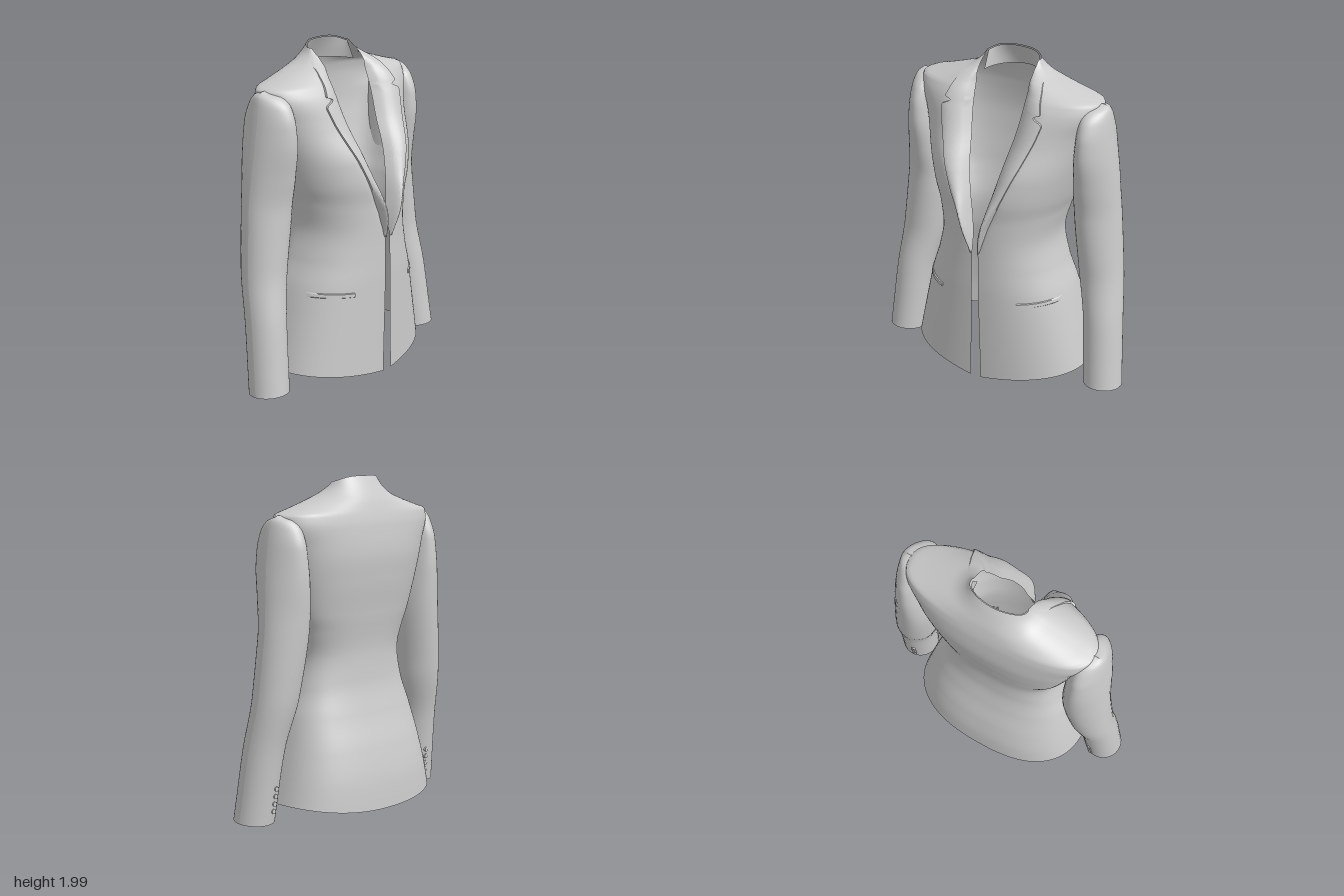
import * as THREE from 'three';
import { toCreasedNormals } from 'three/addons/utils/BufferGeometryUtils.js';

const material = new THREE.MeshStandardMaterial({ color: 0xcccccc, side: THREE.DoubleSide });
const { smoothstep, clamp } = THREE.MathUtils;

// Smooth monotone interpolation through [y, value] pairs
function curve(pts) {
  const slope = i => (pts[i + 1][1] - pts[i][1]) / (pts[i + 1][0] - pts[i][0]);
  const tangent = i => {
    if (i === 0) return slope(0);
    if (i === pts.length - 1) return slope(i - 1);
    const a = slope(i - 1), b = slope(i);
    return a * b <= 0 ? 0 : (2 * a * b) / (a + b);
  };
  return y => {
    if (y <= pts[0][0]) return pts[0][1];
    if (y >= pts[pts.length - 1][0]) return pts[pts.length - 1][1];
    let i = 0;
    while (y > pts[i + 1][0]) i++;
    const h = pts[i + 1][0] - pts[i][0], t = (y - pts[i][0]) / h, t2 = t * t, t3 = t2 * t;
    return (2 * t3 - 3 * t2 + 1) * pts[i][1] + (t3 - 2 * t2 + t) * h * tangent(i)
      + (3 * t2 - 2 * t3) * pts[i + 1][1] + (t3 - t2) * h * tangent(i + 1);
  };
}

function polyline(pts) {
  return y => {
    let i = 0;
    while (i < pts.length - 2 && y > pts[i + 1][0]) i++;
    const t = clamp((y - pts[i][0]) / (pts[i + 1][0] - pts[i][0]), 0, 1);
    return pts[i][1] + t * (pts[i + 1][1] - pts[i][1]);
  };
}

// Surface from point(s, t) -> [x, y, z]; side -1 mirrors it across x
function surface(name, cols, rows, point, side = 1, crease = 0) {
  const pos = [], index = [];
  for (let i = 0; i <= rows; i++) {
    for (let j = 0; j <= cols; j++) {
      const [x, y, z] = point(side > 0 ? j / cols : 1 - j / cols, i / rows);
      pos.push(x * side, y, z);
      if (i < rows && j < cols) {
        const a = i * (cols + 1) + j, c = a + cols + 1;
        index.push(a, a + 1, c + 1, a, c + 1, c);
      }
    }
  }
  let geo = new THREE.BufferGeometry();
  geo.setAttribute('position', new THREE.Float32BufferAttribute(pos, 3));
  geo.setIndex(index);
  geo.computeVertexNormals();
  if (crease) geo = toCreasedNormals(geo, crease);
  const mesh = new THREE.Mesh(geo, material);
  mesh.name = name;
  return mesh;
}

// Body measures by height: half width, back, side and front depth
const halfWidth = curve([[0, 0.6], [0.1, 0.578], [0.4, 0.51], [0.6, 0.46], [0.76, 0.405], [0.94, 0.37],
  [1.1, 0.4], [1.2, 0.435], [1.4, 0.49], [1.6, 0.545], [1.74, 0.595], [1.785, 0.59], [1.82, 0.48],
  [1.86, 0.35], [1.89, 0.275], [1.92, 0.235], [1.96, 0.2], [2, 0.178]]);
const backZ = curve([[0, -0.415], [0.2, -0.4], [0.4, -0.36], [0.6, -0.3], [0.8, -0.257], [0.95, -0.25],
  [1.2, -0.28], [1.4, -0.31], [1.55, -0.323], [1.71, -0.31], [1.84, -0.275], [1.95, -0.22], [2, -0.19]]);
const sideZ = curve([[0, -0.02], [0.6, -0.03], [0.95, -0.03], [1.2, -0.07], [1.7, -0.08], [1.92, -0.085], [2, -0.1]]);
const centreZ = curve([[0, 0.355], [0.6, 0.355], [0.87, 0.35], [1.07, 0.35], [1.2, 0.358], [1.34, 0.342],
  [1.55, 0.25], [1.735, 0.167], [1.8, 0.122], [1.86, 0.08], [1.92, 0.03], [2, -0.06]]);
const backPower = curve([[1.8, 2.5], [2, 2]]);
// Front opening edge, lapel outline with its notch, and how far the opening rolls inward
const openX = curve([[0, 0.035], [0.87, 0.02], [0.92, 0.021], [1.13, 0.053], [1.39, 0.11], [1.71, 0.164],
  [1.92, 0.176], [2, 0.172]]);
const lapelX = polyline([[0.87, 0.028], [1.05, 0.088], [1.2, 0.153], [1.44, 0.254], [1.58, 0.307],
  [1.675, 0.335], [1.69, 0.33], [1.715, 0.275], [1.722, 0.275], [1.735, 0.317], [1.84, 0.28], [1.89, 0.25], [1.95, 0.2]]);
const rollIn = curve([[0.87, 0], [1.07, 0.05], [1.3, 0.095], [1.4, 0.105], [1.7, 0.095], [1.8, 0.075],
  [1.88, 0.03], [1.95, 0]]);
const rollReach = curve([[0.87, 0.01], [1.2, 0.105], [1.5, 0.16], [1.7, 0.16], [1.84, 0.11], [1.95, 0.03]]);
const lapelBulge = curve([[0.87, 0], [1.07, 0.055], [1.25, 0.015], [1.4, 0.004], [1.7, 0]]);
// The collar's top edge dips from the nape towards the front
const collarDip = v => 0.03 * smoothstep(v, 1.85, 2);

function frontZ(x, y) {
  const r = Math.min(x / halfWidth(y), 1), side = sideZ(y);
  const z = side + (centreZ(y) - side) * Math.pow(1 - Math.pow(r, 2.3), 1 / 2.3);
  const k = clamp((openX(y) + rollReach(y) - x) / rollReach(y), 0, 1);
  return z - rollIn(y) * k * k;
}

// Torso shell: s runs from the left front edge round the back to the right front edge
function bodyPoint(s, t) {
  const u = 1 - 2 * s, q = Math.abs(u) * 2, v = 2 * t;
  const front = q > 1;
  const r = front
    ? Math.cos((q - 1) * Math.acos(Math.min(openX(v) / halfWidth(v), 1)))
    : Math.sin(q * Math.PI / 2);
  const hem = front ? 0.005 + 0.095 * r : 0.042 + 0.058 * r * r;
  const y = v + hem * Math.max(0, 1 - v / 0.4);
  const x = r * halfWidth(y), p = backPower(y);
  const z = front ? frontZ(x, y)
    : sideZ(y) + (backZ(y) - sideZ(y)) * Math.pow(Math.max(0, 1 - Math.pow(r, p)), 1 / p);
  return [x * Math.sign(u), y - collarDip(v) * (front ? 1 : r ** 4), z];
}

// Folded lapel and collar leaf; the last column drops back to the body as its edge
function lapelPoint(s, t) {
  const y = 0.87 + 1.08 * t, k = Math.min(s / 0.9, 1);
  const x0 = openX(y), x1 = Math.max(x0, Math.min(lapelX(y), 0.96 * halfWidth(y)));
  const x = x0 + (x1 - x0) * k;
  const lift = s > 0.95 ? -0.004
    : 0.013 * Math.min(1, k * 4) * Math.min(1, (1 - t) * 6) + lapelBulge(y) * Math.sin(Math.PI * k);
  return [x, y - collarDip(y), frontZ(x, y) + lift];
}

// Welted pocket: a thin raised strip following the hip
function pocketPoint(s, t) {
  const x = 0.255 + 0.2 * s, y = 0.545 + 0.012 * s + 0.03 * t;
  const lift = t > 0.1 && t < 0.9 && s > 0.02 && s < 0.98 ? 0.008 : -0.003;
  return [x, y, frontZ(x, y) + lift];
}

// Sleeve measures by height
const sleeveIn = curve([[0, 0.592], [0.44, 0.555], [0.76, 0.49], [1.2, 0.45], [1.4, 0.46], [1.6, 0.48],
  [1.7, 0.49], [1.76, 0.505], [1.79, 0.53]]);
const sleeveOut = curve([[0, 0.83], [0.44, 0.795], [0.76, 0.762], [1.2, 0.72], [1.4, 0.7], [1.6, 0.675],
  [1.7, 0.66], [1.76, 0.645], [1.79, 0.612]]);
const sleeveFront = curve([[0, 0.152], [0.44, 0.105], [0.76, 0.065], [1.1, 0.066], [1.3, 0.092], [1.5, 0.118],
  [1.6, 0.112], [1.7, 0.08], [1.76, 0.02], [1.79, -0.08]]);
const sleeveBack = curve([[0, -0.09], [0.44, -0.145], [0.76, -0.21], [1.2, -0.25], [1.4, -0.257], [1.6, -0.243],
  [1.7, -0.21], [1.76, -0.165], [1.79, -0.08]]);

// Egg-shaped rings, fuller towards the armhole
function sleevePoint(s, t) {
  const a = s * Math.PI * 2;
  const v = 0.012 + 1.778 * (1 - Math.pow(1 - t, 1.6));
  const i = sleeveIn(v), o = sleeveOut(v), f = sleeveFront(v), b = sleeveBack(v);
  const y = v + 0.02 * (1 - Math.sin(a)) * 0.5 * Math.max(0, 1 - v / 0.2);
  const egg = 1 - 0.2 * smoothstep(v, 0.6, 1.3) * Math.cos(a);
  return [(i + o) / 2 + (o - i) / 2 * Math.cos(a), y, (f + b) / 2 - (f - b) / 2 * egg * Math.sin(a)];
}

// Inside of the collar at the back of the neck
function standPoint(s, t) {
  const a = (s - 0.5) * Math.PI, y = 1.86 + 0.135 * t;
  const sz = -0.05 - 0.05 * t, bz = backZ(y) + 0.01;
  return [0.17 * Math.sin(a), y - t * 0.03 * Math.sin(a) ** 4, sz + (bz - sz) * Math.cos(a)];
}

export function createModel() {
  const jacket = new THREE.Group();
  jacket.name = 'jacket';
  jacket.add(surface('body', 96, 170, bodyPoint));
  jacket.add(surface('collarStand', 24, 4, standPoint));

  for (const side of [1, -1]) {
    const label = side > 0 ? 'left' : 'right';
    jacket.add(surface(label + 'Lapel', 20, 130, lapelPoint, side, 0.7));
    jacket.add(surface(label + 'Pocket', 60, 6, pocketPoint, side, 0.7));
    jacket.add(surface(label + 'Sleeve', 40, 70, sleevePoint, side));

    // Cuff buttons down the back of the sleeve
    for (let i = 0; i < 4; i++) {
      const y = 0.09 + 0.045 * i;
      const button = new THREE.Mesh(new THREE.CylinderGeometry(0.014, 0.014, 0.014, 16), material);
      button.name = label + 'CuffButton';
      button.rotation.x = Math.PI / 2;
      button.position.set(side * ((sleeveIn(y) + sleeveOut(y)) / 2 - 0.025), y, sleeveBack(y) + 0.001);
      jacket.add(button);
    }
  }
  return jacket;
}
